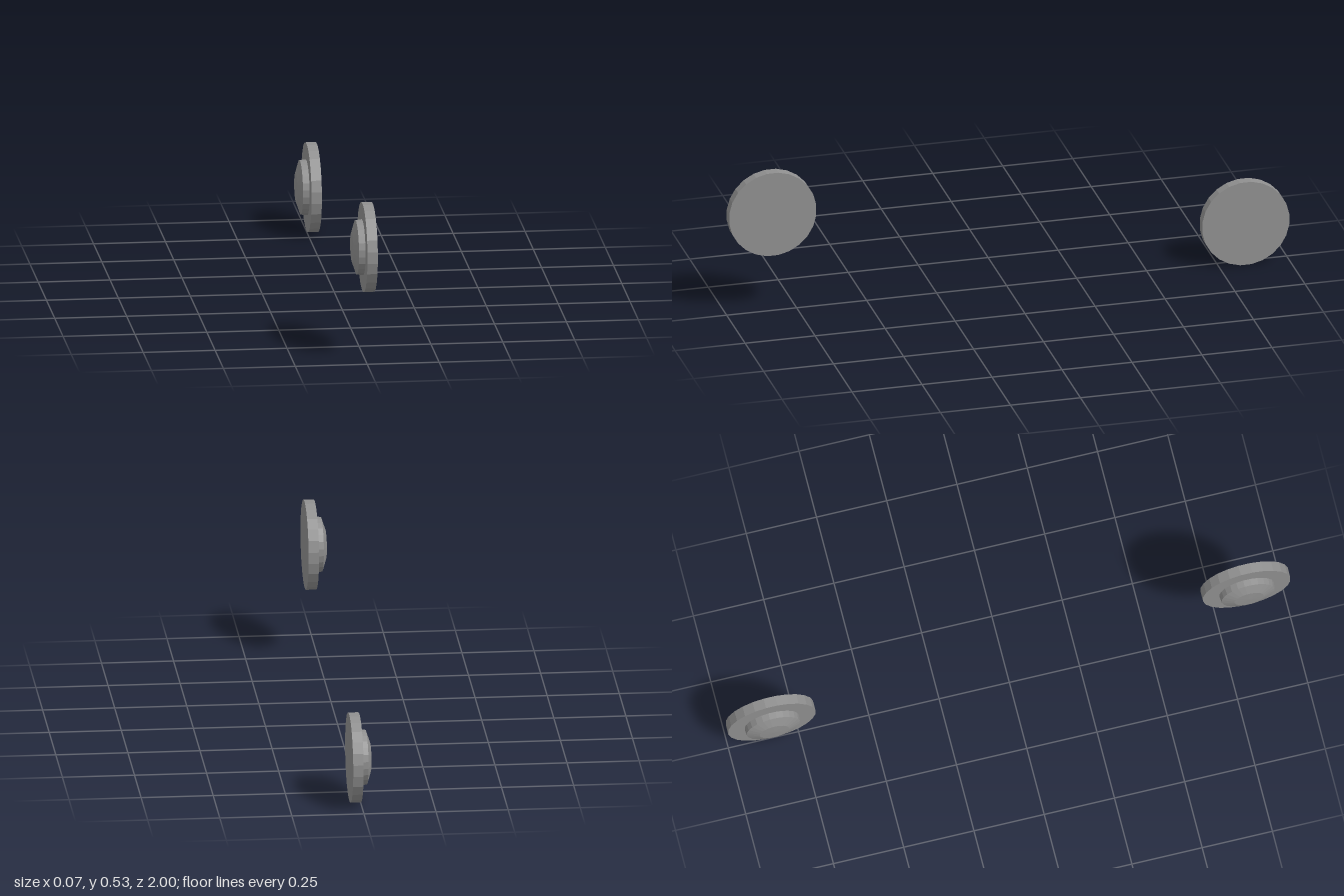
import * as THREE from 'three';

const SEGMENTS = 24;
const material = new THREE.MeshStandardMaterial({ color: 0x909090, flatShading: true });

// Turns a [radius, x] profile around the x axis, with a flat facet on top
function turned(name, profile) {
  const points = profile.map(([r, x]) => new THREE.Vector2(r, x));
  const geometry = new THREE.LatheGeometry(points, SEGMENTS, Math.PI / SEGMENTS);
  geometry.rotateZ(-Math.PI / 2);
  const mesh = new THREE.Mesh(geometry, material);
  mesh.name = name;
  return mesh;
}

// Flat disc with a shallow domed boss on its inner (-x) side
function createButton(name, y, z) {
  const button = new THREE.Group();
  button.name = name;
  button.add(
    turned('disc', [[0, 0.001], [0.1564, 0.001], [0.1564, 0.037], [0, 0.037]]),
    turned('domedBoss', [[0, -0.0375], [0.052, -0.0358], [0.0948, -0.0215], [0.0972, 0.001]])
  );
  button.position.set(0, y, z);
  return button;
}

export function createModel() {
  const model = new THREE.Group();
  model.name = 'discPair';
  model.add(
    createButton('frontDisc', 0.378, 0.8448),
    createButton('rearDisc', 0.1551, -0.8448)
  );
  return model;
}
